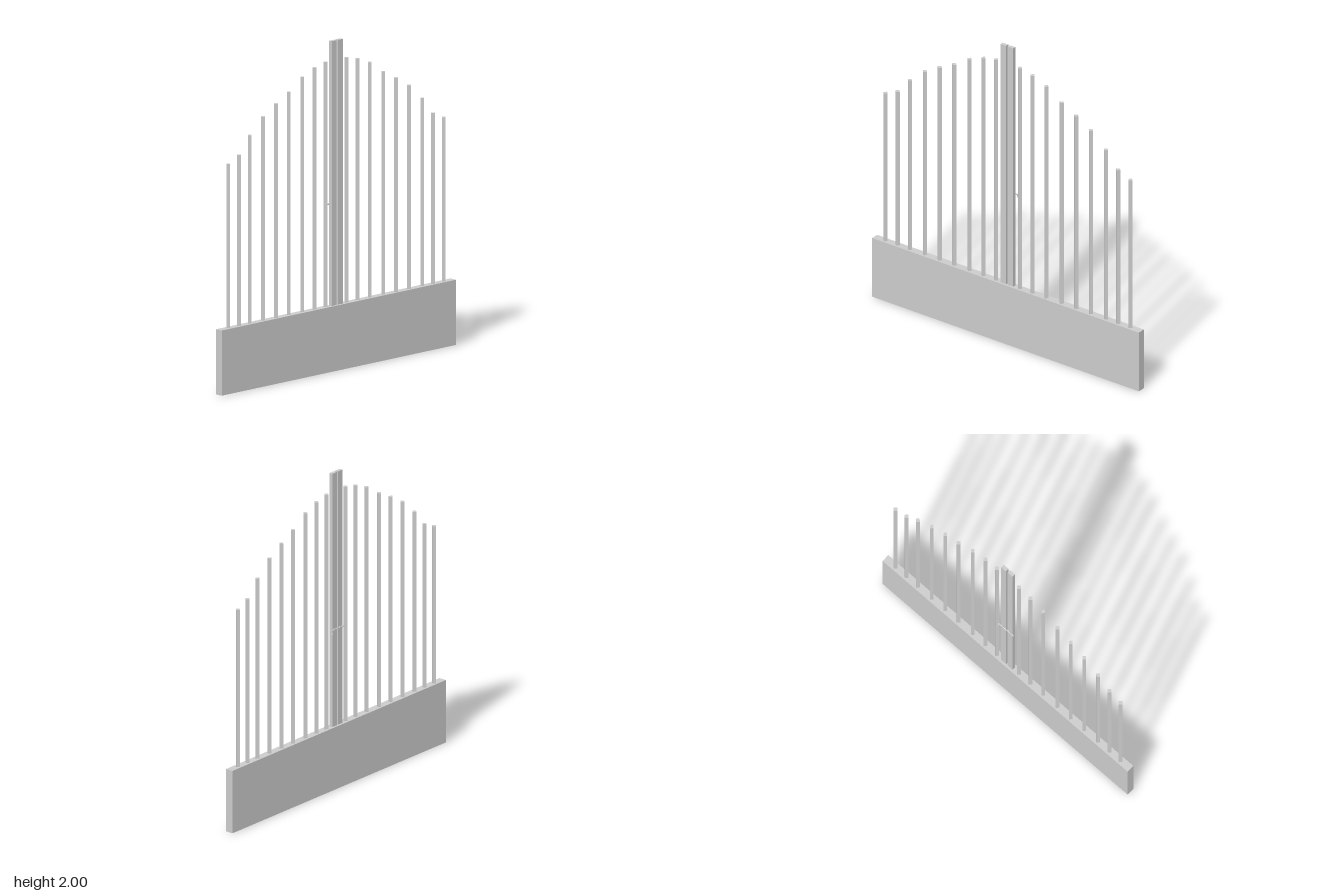
import * as THREE from 'three';

export function createModel() {
  const group = new THREE.Group();
  const material = new THREE.MeshStandardMaterial({ color: 0xcccccc, flatShading: true });
  const add = (name, geometry, x, y, z) => {
    const mesh = new THREE.Mesh(geometry, material);
    mesh.name = name;
    mesh.position.set(x, y, z);
    group.add(mesh);
    return mesh;
  };
  const baseTop = 0.395;

  // Solid lower panel
  add('basePanel', new THREE.BoxGeometry(0.05, baseTop, 1.967), 0, baseTop / 2, 0);

  // Square bars turned on edge, rising towards the middle: [z, top]
  const bars = [
    [0.088, 1.88], [0.181, 1.86], [0.283, 1.82], [0.397, 1.747], [0.504, 1.693],
    [0.612, 1.63], [0.723, 1.535], [0.814, 1.43], [0.903, 1.39],
  ];
  for (const side of [1, -1]) {
    for (const [z, top] of bars) {
      const h = top - baseTop;
      const bar = add('bar', new THREE.BoxGeometry(0.022, h, 0.022), 0, baseTop + h / 2, side * z);
      bar.rotation.y = Math.PI / 4;
    }
    // Flat posts where the two leaves meet
    const postH = 2 - baseTop;
    add('meetingPost', new THREE.BoxGeometry(0.022, postH, 0.04), 0, baseTop + postH / 2, side * 0.026);
  }

  // Sliding bolt with a slanted handle
  const bolt = add('latchBolt', new THREE.CylinderGeometry(0.004, 0.004, 0.122, 8), -0.015, 1.009, 0);
  bolt.rotation.x = Math.PI / 2;
  const handle = add('latchHandle', new THREE.CylinderGeometry(0.004, 0.004, 0.025, 8), -0.019, 0.998, -0.059);
  handle.rotation.z = -0.36;

  // Keepers holding the bolt to the posts
  for (const z of [-0.035, 0.015, 0.038]) {
    add('latchKeeper', new THREE.BoxGeometry(0.01, 0.012, 0.008), -0.015, 1.009, z);
  }
  return group;
}
